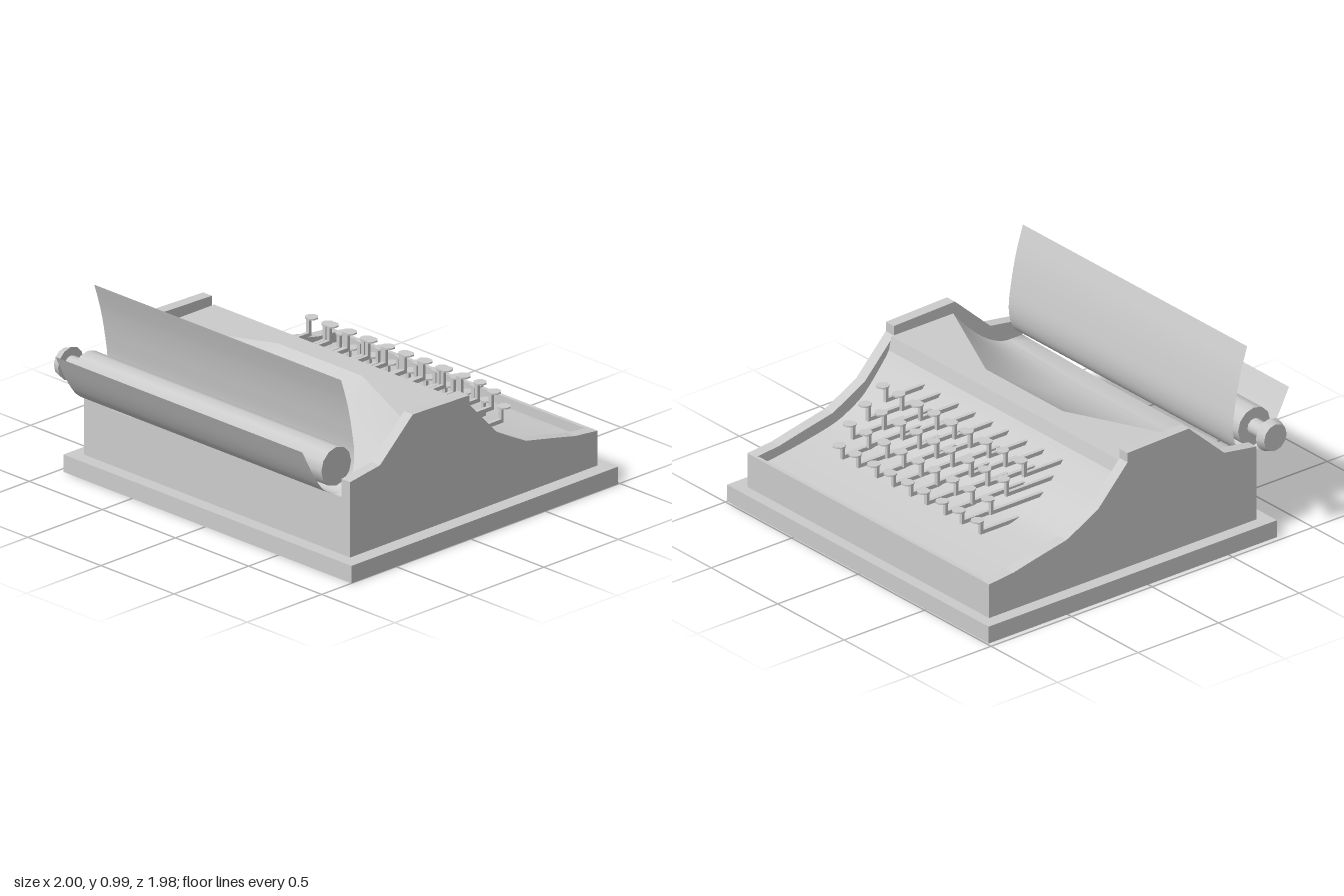
import * as THREE from 'three';

const grey = new THREE.MeshStandardMaterial({ color: 0xcccccc });
const thin = new THREE.MeshStandardMaterial({ color: 0xcccccc, side: THREE.DoubleSide });
const LEFT = 0.86, RIGHT = -0.84; // inner faces of the side panels

function add(parent, name, geometry, x = 0, y = 0, z = 0, material = grey) {
  const mesh = new THREE.Mesh(geometry, material);
  mesh.name = name;
  mesh.position.set(x, y, z);
  parent.add(mesh);
  return mesh;
}

// Box given by its limits
function block(parent, name, x0, x1, y0, y1, z0, z1) {
  return add(parent, name, new THREE.BoxGeometry(x1 - x0, y1 - y0, z1 - z0),
    (x0 + x1) / 2, (y0 + y1) / 2, (z0 + z1) / 2);
}

// Smooth surface through rows of [x, y, z] points
function loft(rows) {
  const n = rows[0].length, index = [];
  for (let i = 0; i < rows.length - 1; i++) {
    for (let j = 0; j < n - 1; j++) {
      const a = i * n + j, b = a + 1, c = a + n, d = c + 1;
      index.push(a, c, b, b, c, d);
    }
  }
  const g = new THREE.BufferGeometry();
  g.setAttribute('position', new THREE.Float32BufferAttribute(rows.flat(2), 3));
  g.setIndex(index);
  g.computeVertexNormals();
  return g;
}

// Sheet of constant cross-section, profile in (z, y)
const sheet = (profile, x0, x1) => loft(profile.map(([z, y]) => [[x0, y, z], [x1, y, z]]));

const smooth = (points, n) => new THREE.SplineCurve(points.map(p => new THREE.Vector2(...p)))
  .getPoints(n).map(p => [p.x, p.y]);

export function createModel() {
  const model = new THREE.Group();
  model.name = 'typewriter';

  block(model, 'base', -0.97, 1, 0, 0.09, -0.99, 0.8);

  // Side panels
  const outline = [[0.73, 0.09], [0.73, 0.48], [0.53, 0.51], [0.31, 0.71], [-0.07, 0.7], [-0.07, 0.65],
    [-0.25, 0.46], [-0.35, 0.405], [-0.45, 0.355], [-0.62, 0.32], [-0.78, 0.285], [-0.93, 0.27], [-0.93, 0.09]];
  const panel = new THREE.ExtrudeGeometry(new THREE.Shape(outline.map(p => new THREE.Vector2(...p))),
    { depth: 0.06, bevelEnabled: false });
  panel.rotateY(-Math.PI / 2);
  add(model, 'leftPanel', panel, LEFT + 0.06);
  add(model, 'rightPanel', panel, RIGHT);

  // Low rim along the keyboard end, and the wall under the roller
  block(model, 'keyboardRim', RIGHT, LEFT, 0.09, 0.27, -0.93, -0.91);
  block(model, 'rollerWall', RIGHT, LEFT, 0.09, 0.385, 0.64, 0.73);

  // Curved keyboard bed with the lip of the cover above it
  const bed = smooth([[-0.91, 0.22], [-0.78, 0.235], [-0.62, 0.26], [-0.45, 0.295],
    [-0.35, 0.335], [-0.25, 0.4], [-0.14, 0.525], [-0.1, 0.58]], 28);
  add(model, 'keyboardBed', sheet(bed, RIGHT, LEFT), 0, 0, 0, thin);
  add(model, 'coverLip', sheet([[-0.1, 0.58], [-0.085, 0.65]], RIGHT, LEFT), 0, 0, 0, thin);

  // Cover: flat deck, hollowed slope and trough, each narrower towards the sides
  const stations = [
    { x: RIGHT, z0: 0.3, z1: 0.64, y1: 0.4 }, { x: -0.28, z0: 0.04, z1: 0.62, y1: 0.386 },
    { x: 0.3, z0: 0.04, z1: 0.62, y1: 0.386 }, { x: LEFT, z0: 0.3, z1: 0.64, y1: 0.4 }];
  const across = [];
  for (let i = 0; i < 3; i++) {
    for (let k = 0; k < 6; k++) {
      const a = stations[i], b = stations[i + 1], s = {};
      for (const key in a) s[key] = a[key] + (b[key] - a[key]) * k / 6;
      across.push(s);
    }
  }
  across.push(stations[3]);
  add(model, 'coverDeck', loft([
    across.map(s => [s.x, 0.65, -0.085]),
    across.map(s => [s.x, 0.65, s.z0])]), 0, 0, 0, thin);
  const slope = [];
  for (let i = 0; i <= 12; i++) {
    const t = i / 12;
    slope.push(across.map(s => [s.x, s.y1 + (0.65 - s.y1) * (1 - t) ** 1.7, s.z0 + (s.z1 - s.z0) * t]));
  }
  add(model, 'coverSlope', loft(slope), 0, 0, 0, thin);
  add(model, 'trough', loft([
    across.map(s => [s.x, s.y1, s.z1]),
    across.map(s => [s.x, s.y1, 0.73]),
    across.map(s => [s.x, 0.37, 0.73])]), 0, 0, 0, thin);

  // Roller with shaft and knob
  const roller = new THREE.Group();
  roller.name = 'roller';
  roller.position.set(0, 0.555, 0.765);
  model.add(roller);
  const turned = (name, r0, r1, x0, x1, sides) => add(roller, name,
    new THREE.CylinderGeometry(r0, r1, x1 - x0, sides).rotateZ(Math.PI / 2), (x0 + x1) / 2);
  turned('platen', 0.1, 0.1, -0.84, 0.86, 12);
  turned('shaft', 0.042, 0.042, -0.97, -0.83, 12);
  turned('knob', 0.07, 0.085, -1, -0.955, 12);

  // Paper: up behind the roller, under it and out at the front
  const paper = smooth([[0.73, 0.99], [0.69, 0.86], [0.66, 0.72], [0.642, 0.57], [0.67, 0.46],
    [0.75, 0.41], [0.84, 0.45], [0.91, 0.54], [0.99, 0.69]], 40);
  add(model, 'paper', sheet(paper, -0.83, 0.858), 0, 0, 0, thin);

  // Keys: disc on an upright stem, carried by a level arm from the bed
  const rows = [
    { z: -0.39, top: 0.605, arm: 0.52, from: -0.13 }, { z: -0.5, top: 0.54, arm: 0.452, from: -0.19 },
    { z: -0.595, top: 0.465, arm: 0.385, from: -0.25 }, { z: -0.66, top: 0.37, arm: 0.3, from: -0.36 }];
  const columns = [-0.485, -0.345, -0.22, -0.08, 0.04, 0.17, 0.295, 0.435, 0.555];
  const disc = new THREE.CylinderGeometry(0.034, 0.034, 0.008, 8).rotateY(Math.PI / 8);
  for (const x of columns) {
    for (const r of rows) {
      const key = new THREE.Group();
      key.name = 'key';
      model.add(key);
      const stem = r.z + 0.02;
      add(key, 'keyCap', disc, x, r.top - 0.004, r.z);
      block(key, 'keyStem', x - 0.01, x + 0.01, r.arm - 0.01, r.top - 0.004, stem - 0.008, stem + 0.008);
      block(key, 'keyArm', x - 0.01, x + 0.01, r.arm - 0.01, r.arm + 0.01, stem - 0.008, r.from);
    }
  }
  return model;
}
